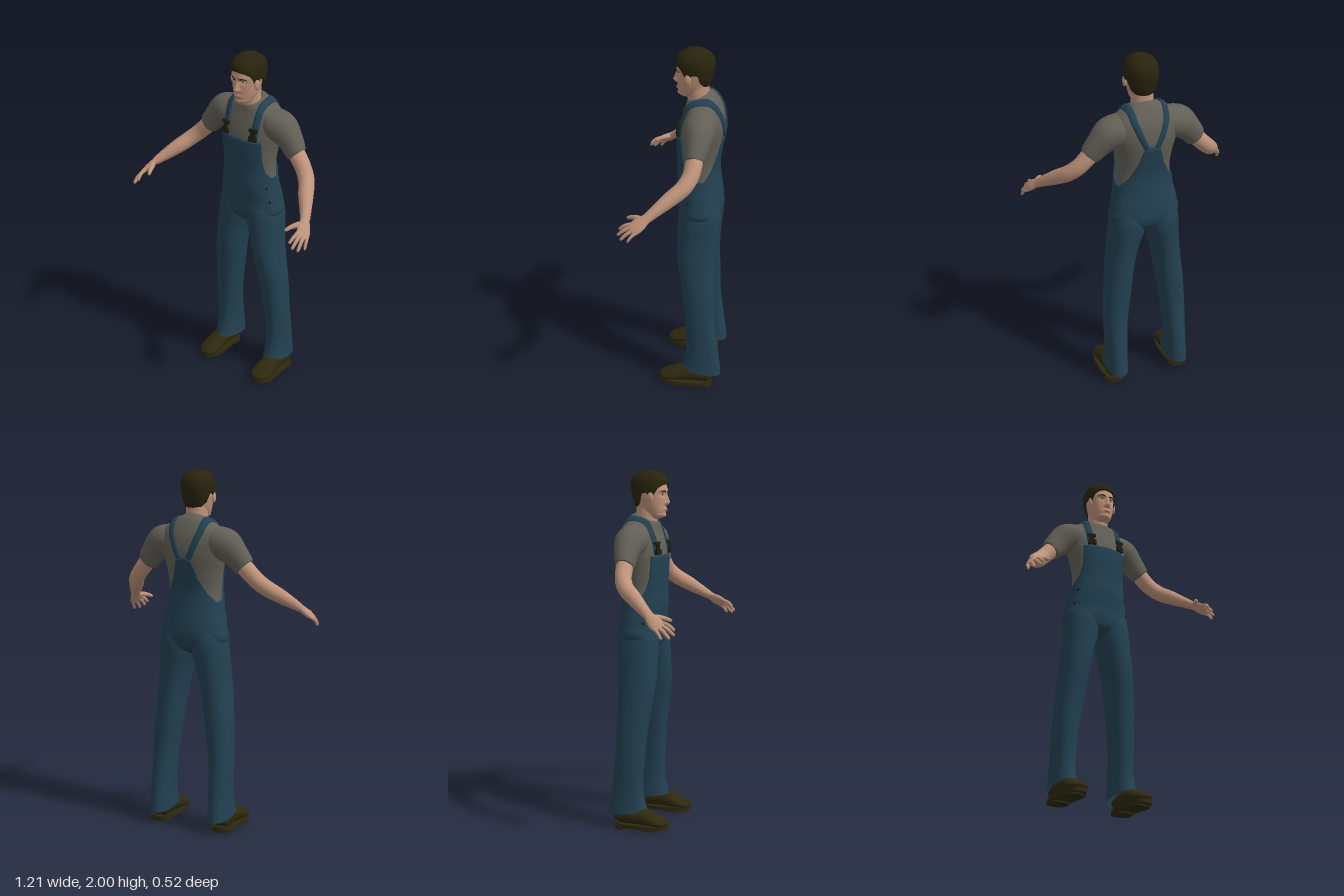
import * as THREE from 'three';
import { mergeVertices, mergeGeometries, toCreasedNormals } from 'three/addons/utils/BufferGeometryUtils.js';

const V = (x, y, z) => new THREE.Vector3(x, y, z);
const material = (name, color, side = THREE.FrontSide) =>
  Object.assign(new THREE.MeshStandardMaterial({ color, side }), { name });

// Surface through points f(u, v), u around and v along
function grid(nu, nv, f) {
  const pos = [], index = [];
  for (let j = 0; j <= nv; j++) for (let i = 0; i <= nu; i++) pos.push(...f(i / nu, j / nv).toArray());
  for (let j = 0; j < nv; j++) for (let i = 0; i < nu; i++) {
    const a = j * (nu + 1) + i, b = a + nu + 1;
    index.push(a, a + 1, b, a + 1, b + 1, b);
  }
  let g = new THREE.BufferGeometry();
  g.setAttribute('position', new THREE.Float32BufferAttribute(pos, 3));
  g.setIndex(index);
  g = mergeVertices(g, 1e-5);
  g.computeVertexNormals();
  return g;
}

// Smooth lookup in rows keyed by their first entry
function smooth(rows) {
  const it = new THREE.CubicInterpolant(rows.map(r => r[0]), rows.flatMap(r => r.slice(1)), rows[0].length - 1);
  return t => [...it.evaluate(t)];
}
function linear(table, t) {
  let i = 0;
  while (i < table.length - 2 && t > table[i + 1][0]) i++;
  const [a, b] = [table[i], table[i + 1]];
  return a[1] + (b[1] - a[1]) * THREE.MathUtils.clamp((t - a[0]) / (b[0] - a[0]), 0, 1);
}

// Horizontal rounded section; angle 0 is the front, then toward +x
function oval(angle, y, cx, rx, zf, zb, n = 2.2) {
  const p = c => Math.sign(c) * Math.abs(c) ** (2 / n);
  return V(cx + rx * p(Math.sin(angle)), y, (zf + zb) / 2 + (zf - zb) / 2 * p(Math.cos(angle)));
}
const TAU = Math.PI * 2;

// Tapered limb: points [x, y, z, half thickness, half width along ref]
function limb(points, ref, nu = 20, nv = 24) {
  const curve = new THREE.CatmullRomCurve3(points.map(p => V(p[0], p[1], p[2])));
  const radii = smooth(points.map((p, i) => [i, p[3], p[4] ?? p[3]]));
  return grid(nu, nv, (u, v) => {
    const T = curve.getTangent(v), [ra, rb] = radii(v * (points.length - 1));
    const B = ref.clone().addScaledVector(T, -ref.dot(T)).normalize();
    const A = T.clone().cross(B), a = (u % 1) * TAU;
    return curve.getPoint(v).addScaledVector(A, Math.max(0, ra) * Math.sin(a)).addScaledVector(B, Math.max(0, rb) * Math.cos(a));
  });
}
function mirrored(g) {
  const m = g.index ? g.toNonIndexed() : g.clone();
  m.scale(-1, 1, 1);
  for (const a of Object.values(m.attributes)) {
    const s = a.itemSize;
    for (let i = 0; i < a.count; i += 3) for (let k = 0; k < s; k++) {
      const p = (i + 1) * s + k, q = (i + 2) * s + k;
      [a.array[p], a.array[q]] = [a.array[q], a.array[p]];
    }
  }
  return m;
}
const blob = (x, y, z, rx, ry, rz) => new THREE.SphereGeometry(1, 20, 14).scale(rx, ry, rz).translate(x, y, z);

export function createModel() {
  const model = new THREE.Group();
  model.name = 'workman';
  const denim = material('denim blue', 0x234152, THREE.DoubleSide);
  const cotton = material('grey cotton', 0x626056, THREE.DoubleSide);
  const skin = material('skin', 0xbf937a);
  const hairMat = material('dark brown hair', 0x28240e, THREE.DoubleSide);
  const leather = material('brown leather', 0x2e290f);
  const metal = material('dark metal', 0x1f1d10);
  const white = material('eye white', 0xb8b0a4);
  const lipMat = material('lips', 0x9c6a58);
  const add = (name, g, m) => {
    const mesh = new THREE.Mesh(g, m);
    mesh.name = name;
    model.add(mesh);
    return mesh;
  };
  const pair = (name, g, m) => { add('left ' + name, g, m); add('right ' + name, mirrored(g), m); };
  const caster = new THREE.Raycaster();
  const hit = (mesh, from, dir) => {
    caster.set(from, dir);
    return caster.intersectObject(mesh)[0];
  };

  // Torso: y, half width, front z, back z, collar tilt
  const body = smooth([[0.985, 0.01, -0.09, -0.13, 0], [1.02, 0.12, -0.03, -0.2, 0], [1.07, 0.184, -0.008, -0.228, 0],
    [1.15, 0.178, -0.006, -0.23, 0], [1.25, 0.158, 0.006, -0.217, 0], [1.35, 0.15, 0.003, -0.21, 0],
    [1.45, 0.16, 0.008, -0.225, 0], [1.55, 0.182, 0.004, -0.242, 0], [1.62, 0.195, -0.012, -0.238, 0],
    [1.67, 0.18, -0.027, -0.225, 0.002], [1.71, 0.133, -0.034, -0.2, 0.012], [1.735, 0.085, -0.038, -0.17, 0.024],
    [1.74, 0.066, -0.04, -0.155, 0.026]]);
  const torso = (angle, y, off = 0) => {
    const [rx, zf, zb, tilt] = body(y);
    const p = oval(angle, y, 0, rx + off, zf + off, zb - off);
    p.y -= tilt * Math.cos(angle);
    return p;
  };
  const shirt = add('shirt body', grid(64, 48, (u, v) => torso((u % 1) * TAU, 1.2 + 0.54 * v)), cotton);
  pair('sleeve', limb([[0.1, 1.62, -0.12, 0.08, 0.075], [0.15, 1.615, -0.123, 0.085, 0.09], [0.2, 1.597, -0.125, 0.09, 0.085],
    [0.255, 1.548, -0.122, 0.073, 0.067], [0.306, 1.484, -0.112, 0.058, 0.051], [0.308, 1.482, -0.112, 0.045, 0.042]],
    V(0, 0, 1), 28, 40), cotton);

  // Overalls: bib with curved armholes and a peaked back
  const edge = [[0, 1.532], [46, 1.528], [49, 1.48], [55, 1.4], [66, 1.335], [85, 1.295], [110, 1.285], [135, 1.34],
    [155, 1.42], [168, 1.52], [180, 1.535]];
  add('overalls bib and hips', grid(120, 41, (u, v) => {
    const a = (u % 1) * TAU, top = linear(edge, 180 - Math.abs(180 - u * 360));
    return torso(a, 0.985 + (top - 0.985) * Math.min(1, v * 41 / 40), v === 1 ? -0.002 : 0.011);
  }), denim);

  // Trouser legs: y, centre x, half width, front z, back z
  const leg = smooth([[0.085, 0.187, 0.066, -0.028, -0.26], [0.2, 0.185, 0.061, -0.055, -0.245], [0.4, 0.179, 0.067, -0.05, -0.22],
    [0.6, 0.161, 0.076, -0.03, -0.215], [0.8, 0.136, 0.081, 0, -0.215], [0.92, 0.117, 0.088, 0.002, -0.225],
    [1.0, 0.102, 0.098, 0.002, -0.235], [1.08, 0.095, 0.096, -0.002, -0.236], [1.16, 0.085, 0.084, -0.025, -0.215]]);
  pair('trouser leg', grid(36, 44, (u, v) => {
    const y = 0.085 + 1.075 * v, p = oval((u % 1) * TAU, y, ...leg(y));
    if (v === 0) p.y += 0.02 * Math.cos(u * TAU); // hem lifts over the shoe
    return p;
  }), denim);

  // Straps laid over the shirt, from bib to back peak
  const strapX = [[-10, 0.092], [60, 0.1], [95, 0.103], [130, 0.09], [175, 0.045], [197, 0.02]];
  const lanes = [[-1, 0], [-0.85, 0.01], [0, 0.011], [0.85, 0.01], [1, 0]];
  let last = V(0.09, 1.53, 0);
  pair('strap', grid(4, 60, (u, v) => {
    const deg = -10 + 207 * v, f = deg * Math.PI / 180, dir = V(0, Math.sin(f), Math.cos(f));
    const [side, lift] = lanes[Math.round(u * 4)];
    const c = V(linear(strapX, deg) + side * 0.018, 1.55, -0.11);
    const h = hit(shirt, c.clone().addScaledVector(dir, 0.6), dir.clone().negate());
    if (h) last = h.point.clone();
    return last.clone().addScaledVector(dir, lift);
  }), denim);

  // Strap buckles
  const buckle = [[0.05, 0.016, 1.598], [0.026, 0.03, 1.578], [0.044, 0.02, 1.556], [0.05, 0.01, 1.541]].map(([w, h, y]) => {
    const p = hit(shirt, V(0.094, y, 1), V(0, 0, -1)).point;
    return new THREE.BoxGeometry(w, h, 0.014).rotateY(0.25).translate(0.094, y, p.z + 0.015);
  });
  pair('buckle', mergeGeometries(buckle), metal);

  // Side buttons
  pair('side buttons', mergeGeometries([1.16, 1.245].map(y => {
    const p = torso(1.12, y, 0.012);
    return blob(p.x, p.y, p.z, 0.006, 0.008, 0.008);
  })), metal);

  // Shoes
  const shoe = [[-0.212, 0, 0.06], [-0.2, 0.04, 0.095], [-0.15, 0.05, 0.118], [-0.08, 0.051, 0.122], [-0.02, 0.057, 0.108],
    [0.035, 0.06, 0.082], [0.07, 0.052, 0.066], [0.088, 0.03, 0.052], [0.094, 0, 0.04]];
  pair('shoe upper', limb(shoe.map(([z, w, h]) => [0.199, 0.015 + (h - 0.015) / 2, z, w, w ? (h - 0.015) / 2 : 0]), V(0, 1, 0), 24, 32), leather);
  const slab = (y0, y1, rx, zf, zb) => toCreasedNormals(grid(32, 3, (u, v) => {
    const r = v === 0 || v === 1 ? 0 : 1, zc = (zf + zb) / 2;
    return oval((u % 1) * TAU, v < 0.5 ? y0 : y1, 0.201, rx * r, zc + (zf - zc) * r, zc + (zb - zc) * r, 2.6);
  }), 0.7);
  pair('shoe sole', slab(0.008, 0.03, 0.065, 0.096, -0.213), leather);
  pair('shoe heel', slab(0, 0.02, 0.058, -0.11, -0.212), leather);
  pair('shoe ball', slab(0, 0.02, 0.06, 0.06, -0.06), leather);

  // Arms and hands
  const across = V(-0.57, 0.456, 0.684);
  pair('arm', limb([[0.25, 1.55, -0.12, 0.045], [0.31, 1.48, -0.112, 0.047], [0.365, 1.42, -0.098, 0.045], [0.41, 1.375, -0.065, 0.044],
    [0.455, 1.33, -0.002, 0.041], [0.5, 1.286, 0.06, 0.032], [0.532, 1.253, 0.106, 0.023, 0.027]], across, 20, 36), skin);
  pair('palm', limb([[0.522, 1.266, 0.09, 0.02, 0.024], [0.535, 1.25, 0.112, 0.019, 0.028], [0.552, 1.226, 0.143, 0.018, 0.038],
    [0.566, 1.206, 0.17, 0.014, 0.038], [0.573, 1.196, 0.184, 0.009, 0.03], [0.575, 1.193, 0.188, 0, 0]], across), skin);
  const finger = (a, b, r) => {
    const m = a.clone().lerp(b, 0.5).add(V(0.003, 0.006, 0.003)), e = a.clone().lerp(b, 0.92);
    return limb([[...a, r], [...m, r], [...e, r * 0.75], [...b, 0]], V(0, 1, 0.3), 10, 14);
  };
  const tips = [V(0.602, 1.143, 0.202), V(0.586, 1.145, 0.242), V(0.562, 1.16, 0.261), V(0.538, 1.183, 0.254)];
  pair('fingers', mergeGeometries(tips.map((tip, i) =>
    finger(V(0.562, 1.211, 0.164).addScaledVector(across, -0.028 + i * 0.0187), tip, i ? 0.0105 : 0.009))), skin);
  pair('thumb', limb([[0.538, 1.245, 0.122, 0.014], [0.517, 1.244, 0.155, 0.016], [0.499, 1.238, 0.187, 0.012],
    [0.486, 1.228, 0.212, 0.009], [0.481, 1.224, 0.22, 0]], V(0, 1, 0), 12, 18), skin);

  // Neck and head with modelled face
  add('neck', grid(32, 8, (u, v) => oval((u % 1) * TAU, 1.66 + 0.15 * v, 0, 0.064 - 0.006 * v, -0.046 + 0.02 * v, -0.155, 2)), skin);
  const skull = smooth([[1.728, 0.02, -0.03, -0.07], [1.74, 0.04, 0.003, -0.085], [1.765, 0.055, 0.012, -0.12], [1.79, 0.064, 0.014, -0.14],
    [1.82, 0.071, 0.015, -0.15], [1.86, 0.077, 0.016, -0.165], [1.9, 0.078, 0.018, -0.17], [1.95, 0.066, 0, -0.155], [1.98, 0.035, -0.04, -0.11]]);
  const bump = (d, w) => Math.exp(-((d / w) ** 2));
  const nose = [[1.8, 0], [1.81, 0.018], [1.82, 0.026], [1.875, 0.004], [1.89, 0]];
  const head = add('head', grid(96, 72, (u, v) => {
    const y = 1.728 + 0.252 * v, p = oval((u % 1) * TAU, y, 0, ...skull(y));
    if (Math.cos(u * TAU) > 0) {
      const ax = Math.abs(p.x);
      p.z += linear(nose, y) * bump(ax, 0.009 + 0.006 * bump(y - 1.815, 0.012));
      p.z += 0.007 * bump(ax, 0.022) * bump(y - 1.78, 0.012) + 0.006 * bump(ax, 0.022) * bump(y - 1.745, 0.012);
      p.z -= 0.009 * bump(ax - 0.03, 0.016) * bump(y - 1.863, 0.011);
      p.z += 0.005 * bump(ax - 0.03, 0.025) * bump(y - 1.886, 0.01);
    }
    return p;
  }), skin);
  const faceZ = (x, y) => hit(head, V(x, y, 1), V(0, 0, -1)).point.z;
  pair('ear', blob(0.081, 1.846, -0.085, 0.01, 0.03, 0.018).rotateX(0.02), skin);
  pair('eye', blob(0.03, 1.864, faceZ(0.03, 1.864), 0.013, 0.005, 0.004), white);
  pair('iris', blob(0.03, 1.864, faceZ(0.03, 1.864) + 0.003, 0.005, 0.005, 0.002), metal);
  pair('eyebrow', limb([0.012, 0.024, 0.037, 0.052].map((x, i) => {
    const y = [1.877, 1.882, 1.884, 1.876][i];
    return [x, y, faceZ(x, y), 0.003, [0.002, 0.004, 0.003, 0.001][i]];
  }), V(0, 1, 0), 8, 12), hairMat);
  add('mouth', blob(0, 1.779, faceZ(0, 1.779) - 0.002, 0.021, 0.0055, 0.004), lipMat);

  // Short hair cap with fringe, sideburns and nape
  const cap = smooth([[1.78, 0.06, 0.012, -0.148], [1.82, 0.076, 0.018, -0.166], [1.87, 0.087, 0.022, -0.18], [1.92, 0.089, 0.027, -0.186],
    [1.96, 0.077, 0.012, -0.172], [1.985, 0.052, -0.02, -0.139], [1.995, 0.03, -0.045, -0.112], [2.0, 0, -0.078, -0.078]]);
  const hairline = [[0, 1.922], [30, 1.915], [48, 1.9], [60, 1.87], [70, 1.84], [78, 1.84], [84, 1.872], [100, 1.872], [112, 1.825], [135, 1.8], [180, 1.793]];
  add('hair', grid(96, 32, (u, v) => {
    const y0 = linear(hairline, 180 - Math.abs(180 - u * 360)), t = Math.max(0, (v * 32 - 1) / 31);
    const y = v === 1 ? 2 : y0 + (2 - y0) * Math.sin(t * Math.PI / 2);
    const p = oval((u % 1) * TAU, y, 0, ...cap(y));
    if (v === 0) { p.x *= 0.82; p.z = -0.078 + (p.z + 0.078) * 0.84; }
    return p;
  }), hairMat);
  return model;
}
